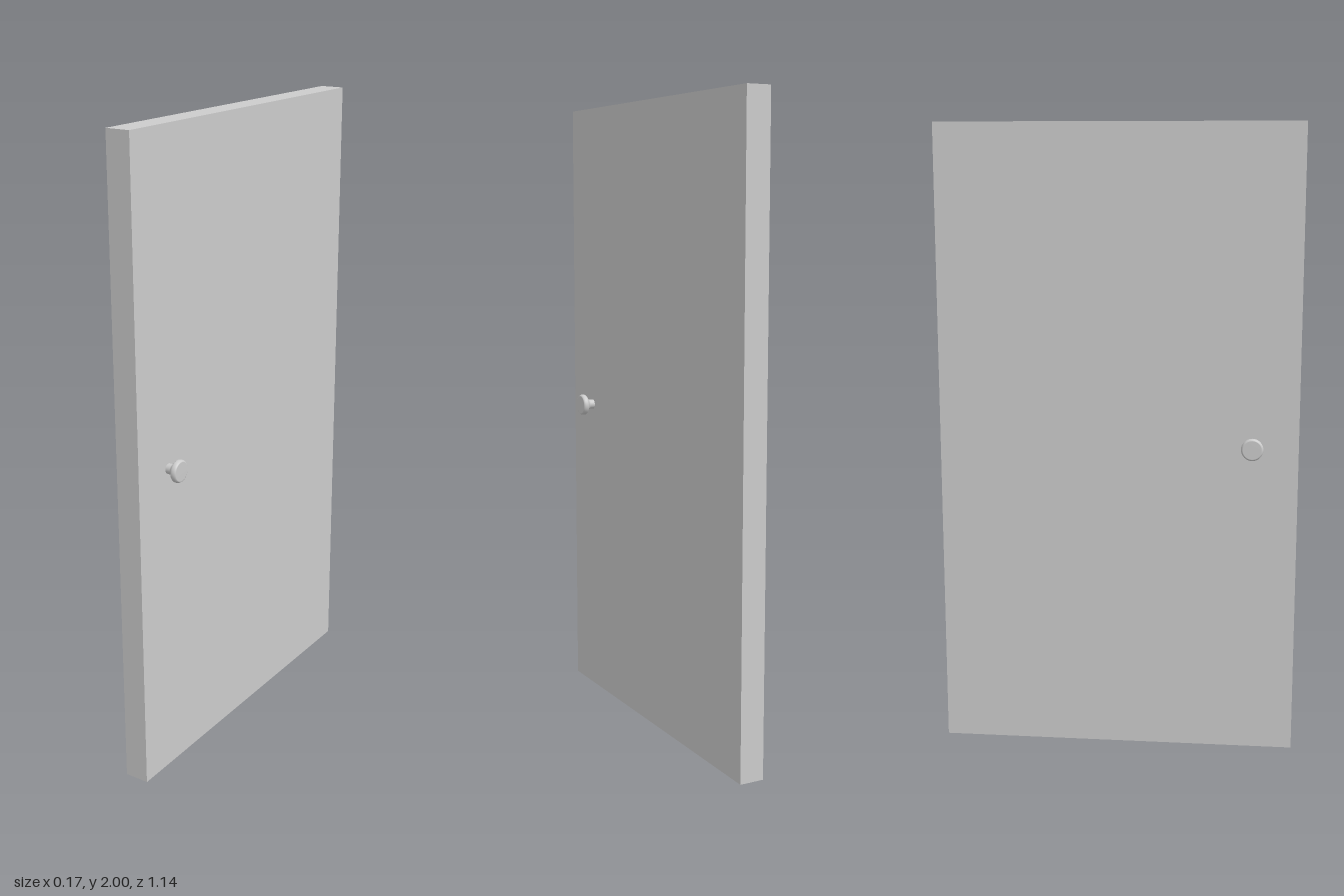
import * as THREE from 'three';

export function createModel() {
  const group = new THREE.Group();
  const material = new THREE.MeshStandardMaterial({ color: 0xcccccc });
  const thickness = 0.078;

  // Plain door slab, standing on the ground
  const panel = new THREE.Mesh(new THREE.BoxGeometry(thickness, 2, 1.14), material);
  panel.name = 'doorPanel';
  panel.position.y = 1;
  group.add(panel);

  // Turned knob profile (radius, distance from the door face): stem, flare, rounded rim, flat face
  const profile = [
    [0.016, -0.005], [0.016, 0.014], [0.018, 0.019], [0.022, 0.023], [0.028, 0.027],
    [0.032, 0.029], [0.0345, 0.032], [0.035, 0.036], [0.0345, 0.042],
    [0.032, 0.046], [0.03, 0.047], [0.029, 0.0472], [0, 0.0472],
  ].map(([r, d]) => new THREE.Vector2(r, d));
  const knobGeometry = new THREE.LatheGeometry(profile, 32);

  // One knob on each face, near the front edge
  for (const side of [1, -1]) {
    const knob = new THREE.Mesh(knobGeometry, material);
    knob.name = side > 0 ? 'leftKnob' : 'rightKnob';
    knob.rotation.z = -side * Math.PI / 2;
    knob.position.set(side * thickness / 2, 1.003, 0.425);
    group.add(knob);
  }
  return group;
}
